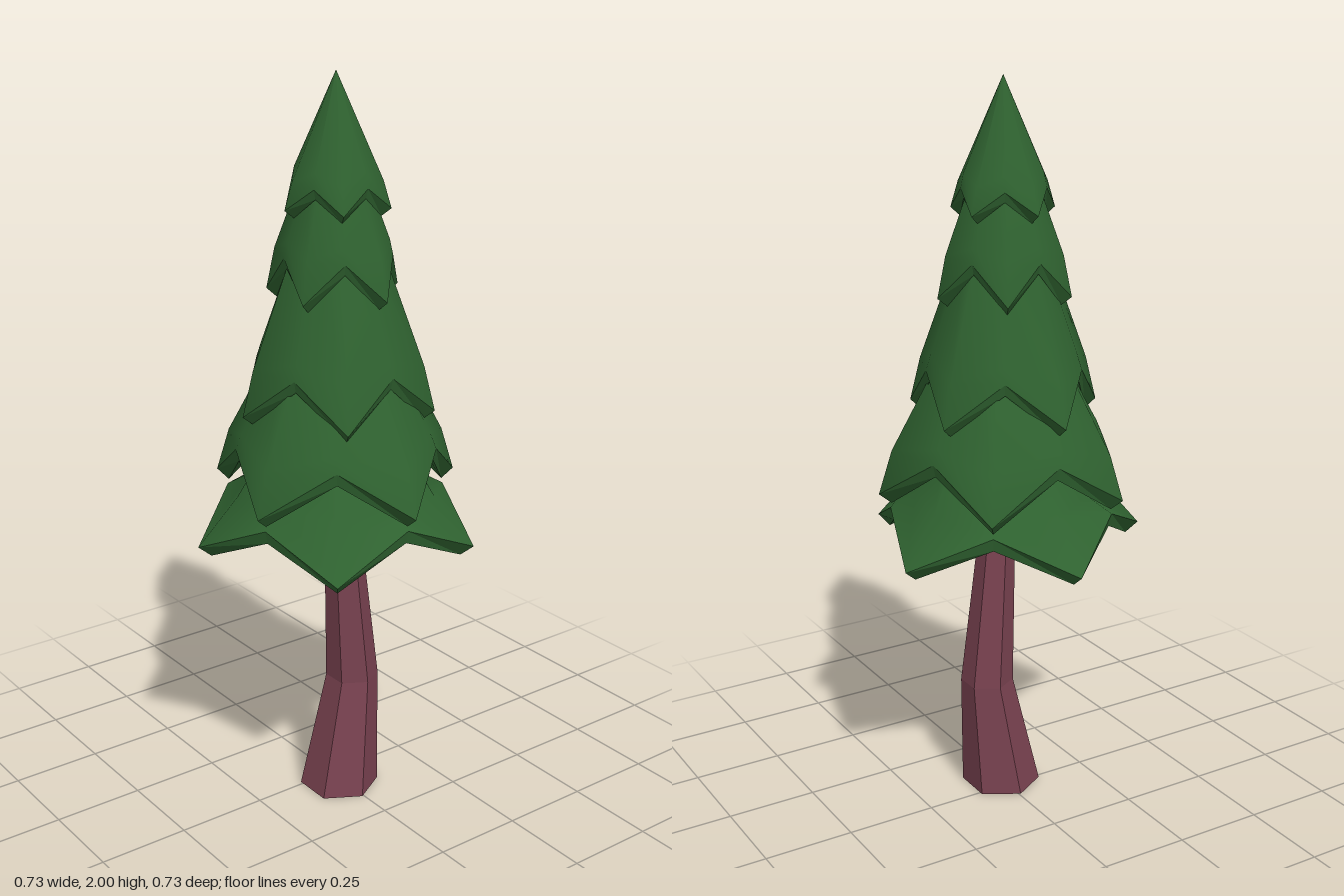
import * as THREE from 'three';

const CENTRE_Z = 0.02;

// Joins equal-length rings of points into a surface; rings run from top to bottom for an outward face.
function loft(rings, flat = false) {
  const n = rings[0].length, index = [];
  for (let r = 0; r < rings.length - 1; r++) {
    for (let i = 0; i < n; i++) {
      const j = (i + 1) % n;
      const a = r * n + i, b = r * n + j, c = a + n, d = b + n;
      index.push(a, c, d, a, d, b);
    }
  }
  let geo = new THREE.BufferGeometry();
  geo.setAttribute('position', new THREE.Float32BufferAttribute(rings.flat(2), 3));
  geo.setIndex(index);
  if (flat) geo = geo.toNonIndexed();
  geo.computeVertexNormals();
  return geo;
}

// Ten points alternating between a branch tip and the valley beside it.
function starRing(angle, tipR, tipY, valleyR, valleyY) {
  return Array.from({ length: 10 }, (_, i) => {
    const a = angle + (i * Math.PI) / 5;
    const r = i % 2 ? valleyR : tipR, y = i % 2 ? valleyY : tipY;
    return [Math.sin(a) * r, y, Math.cos(a) * r + CENTRE_Z];
  });
}

// angle (degrees) of one tip, tip radius and height, valley height, bend and top of the tier
const TIERS = [
  { angle: 180, R: 0.385, tip: 0.77, valley: 0.87, bendR: 0.275, bendY: 0.9, topR: 0.18, topY: 1.05 },
  { angle: 0, R: 0.342, tip: 0.91, valley: 1.035, bendR: 0.305, bendY: 1.03, topR: 0.17, topY: 1.28 },
  { angle: -30, R: 0.265, tip: 1.13, valley: 1.25, bendR: 0.235, bendY: 1.25, topR: 0.12, topY: 1.56 },
  { angle: 8.5, R: 0.183, tip: 1.44, valley: 1.54, bendR: 0.16, bendY: 1.55, topR: 0.085, topY: 1.75 },
  { angle: -29, R: 0.143, tip: 1.66, valley: 1.72, bendR: 0.122, bendY: 1.73, topR: 0, topY: 2 },
];

function makeTier(t, leaf) {
  const group = new THREE.Group();
  const a = THREE.MathUtils.degToRad(t.angle);
  const valleyR = t.R * 0.809;
  const thick = 0.02 + t.R * 0.04;
  const top = starRing(a, t.topR, t.topY, t.topR * 0.88, t.topY);
  const bend = starRing(a, t.bendR, t.bendY, Math.min(valleyR * 0.94, t.bendR * 0.88), t.valley + 0.04);
  const edge = starRing(a, t.R, t.tip, valleyR, t.valley);
  const lower = starRing(a, t.R - thick, t.tip - thick * 0.8, valleyR - 0.008, t.valley - thick);
  const inner = starRing(a, t.bendR * 0.75, t.valley - 0.02, t.bendR * 0.65, t.valley + 0.01);
  const core = starRing(a, 0, t.valley + 0.06, 0, t.valley + 0.06);
  const add = (name, geo) => {
    const mesh = new THREE.Mesh(geo, leaf);
    mesh.name = name;
    group.add(mesh);
  };
  add('needles', loft([top, bend, edge]));
  add('branchEdge', loft([edge, lower], true));
  add('underside', loft([lower, inner, core], true));
  return group;
}

// Six-sided ring of the trunk with a corner facing the front.
function trunkRing(x, y, z, r) {
  return Array.from({ length: 6 }, (_, i) => {
    const a = (i * Math.PI) / 3;
    return [x + Math.sin(a) * r, y, z + Math.cos(a) * r];
  });
}

export function createModel() {
  const leaf = new THREE.MeshStandardMaterial({ color: 0x2f6230 });
  leaf.name = 'needle green';
  leaf.side = THREE.DoubleSide;
  const bark = new THREE.MeshStandardMaterial({ color: 0x794250 });
  bark.name = 'bark brown';

  const tree = new THREE.Group();
  tree.name = 'pineTree';

  // Bent trunk, closed at the foot
  const trunk = new THREE.Mesh(loft([
    trunkRing(0, 0.95, 0.045, 0.042),
    trunkRing(0, 0.85, 0.045, 0.046),
    trunkRing(0.042, 0.33, 0.042, 0.073),
    trunkRing(-0.005, 0, 0.045, 0.11),
    trunkRing(-0.005, 0, 0.045, 0),
  ], true), bark);
  trunk.name = 'trunk';
  tree.add(trunk);

  // Overlapping skirts of branches
  TIERS.forEach((t, i) => {
    const tier = makeTier(t, leaf);
    tier.name = `branchTier${i + 1}`;
    tree.add(tier);
  });
  return tree;
}
